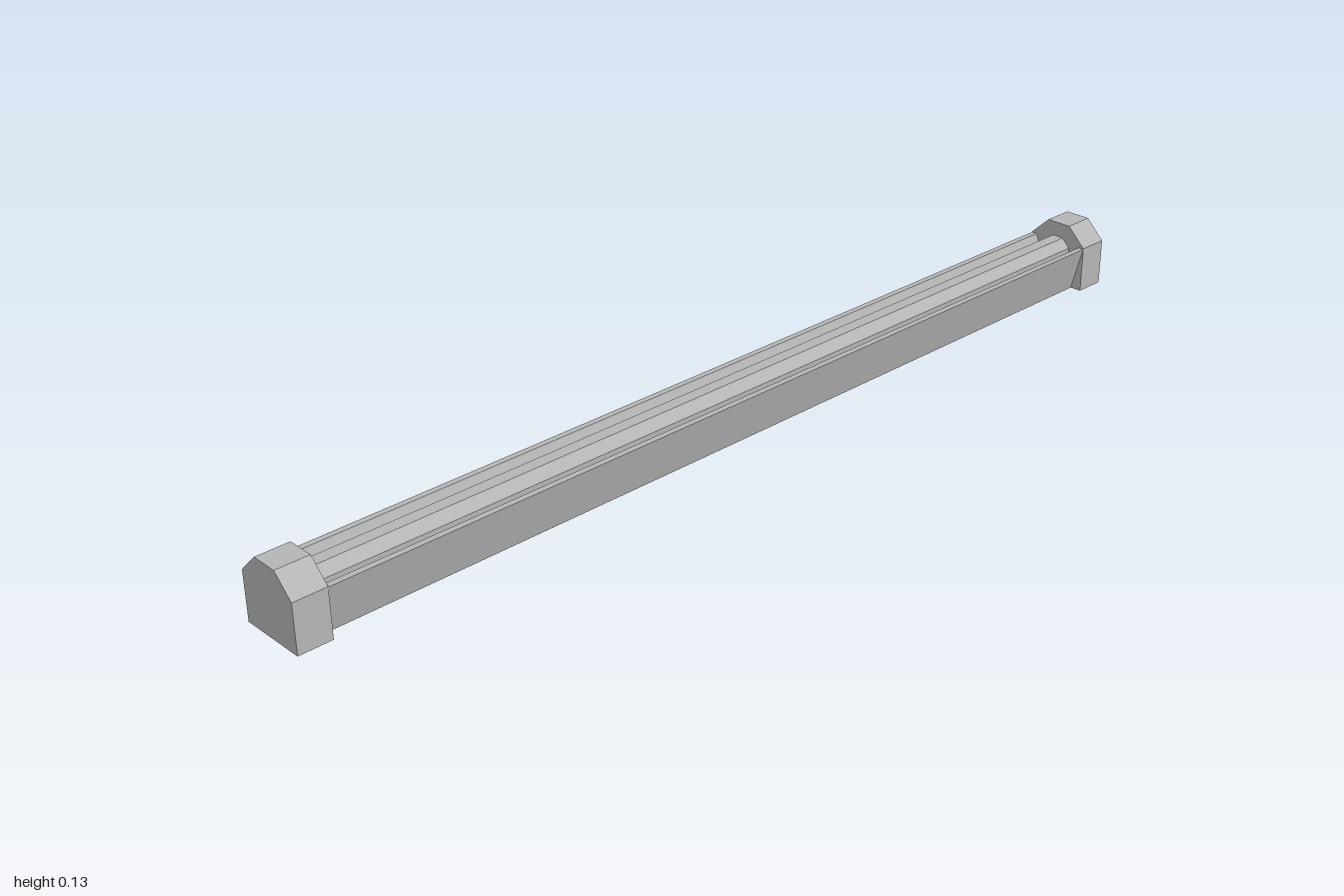
import * as THREE from 'three';

export function createModel() {
  const model = new THREE.Group();
  const grey = new THREE.MeshStandardMaterial({ color: 0xb4b4b4, flatShading: true });
  grey.name = 'plain grey';

  // Extrudes an x/y outline along z, starting at z0
  function prism(name, points, z0, length) {
    const shape = new THREE.Shape(points.map(([x, y]) => new THREE.Vector2(x, y)));
    const geometry = new THREE.ExtrudeGeometry(shape, { depth: length, bevelEnabled: false });
    geometry.translate(0, 0, z0);
    const mesh = new THREE.Mesh(geometry, grey);
    mesh.name = name;
    model.add(mesh);
  }
  // Completes a right-hand outline with its mirror image
  const mirrored = (half) => [...half, ...half.slice().reverse().map(([x, y]) => [-x, y])];

  // Chamfered caps at both ends
  const capOutline = mirrored([[0.067, 0], [0.067, 0.095], [0.027, 0.134]]);
  prism('frontCap', capOutline, 0.935, 0.065);
  prism('backCap', capOutline, -1, 0.065);

  // Tapered trough with a flat rim and sloping inner walls
  const troughOutline = mirrored([[0.043, 0], [0.067, 0.094], [0.055, 0.094], [0.034, 0.045]]);
  prism('troughHousing', troughOutline, -0.935, 1.87);

  // Eight-sided lamp tube lying in the trough
  const tubeGeometry = new THREE.CylinderGeometry(0.033, 0.033, 1.87, 8, 1);
  tubeGeometry.rotateY(Math.PI / 8);
  tubeGeometry.rotateX(Math.PI / 2);
  const tube = new THREE.Mesh(tubeGeometry, grey);
  tube.name = 'lampTube';
  tube.position.y = 0.073;
  model.add(tube);

  return model;
}
